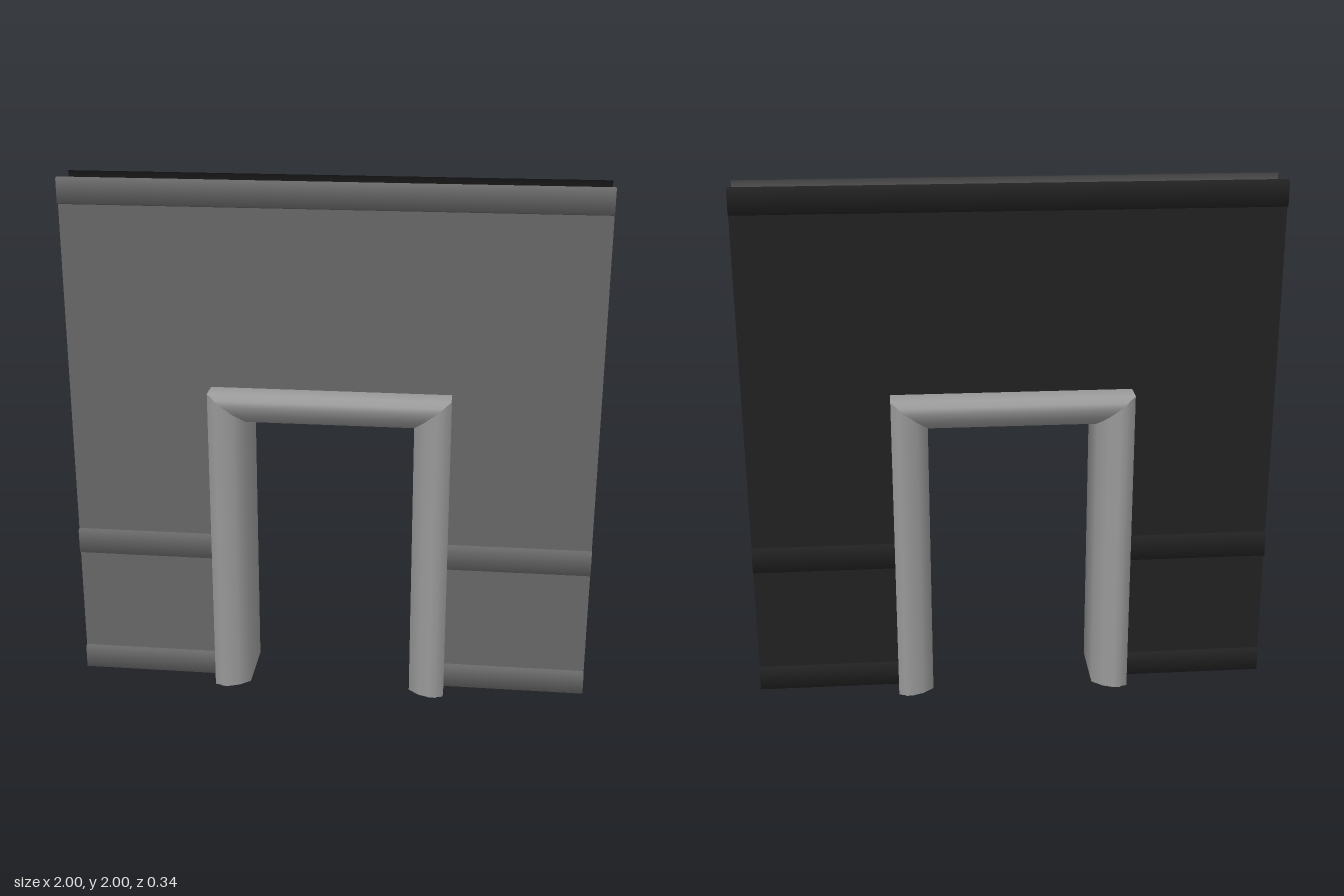
import * as THREE from 'three';

const paint = (color) => new THREE.MeshStandardMaterial({ color, side: THREE.DoubleSide });

const WALL_Z = 0.07;              // flat wall sheet
const BULGE = 0.013;              // how far the mouldings stand out
const GAP_X = 0.39, GAP_Y = 1.16; // opening cut in the sheets, hidden by the frame

// Frame section: [0 = outer edge .. 1 = inner edge, z], front half from outer to inner
const half = [[0, 0.157], [0.17, 0.163], [0.21, 0.17], [0.4, 0.169], [0.7, 0.153], [1, 0.118]];
const section = [...half].reverse().concat(half.map(([t, z]) => [t, -z]));
const frameX = (t) => 0.453 - 0.136 * t;
const frameY = (t) => 1.22 - 0.118 * t;

function add(parent, name, geometry, material) {
  const mesh = new THREE.Mesh(geometry, material);
  mesh.name = name;
  parent.add(mesh);
}

// Straight run between two matching profiles, shaded smoothly around the profile
function run(rowA, rowB, closed) {
  const a = rowA.map((p) => new THREE.Vector3(...p));
  const b = rowB.map((p) => new THREE.Vector3(...p));
  const n = a.length, count = closed ? n : n - 1;
  const normals = a.map(() => new THREE.Vector3());
  const index = [];
  for (let i = 0; i < count; i++) {
    const j = (i + 1) % n;
    const face = b[i].clone().sub(a[i]).cross(a[j].clone().sub(a[i])).normalize();
    normals[i].add(face);
    normals[j].add(face);
    index.push(i, n + i, n + j, i, n + j, j);
  }
  normals.forEach((v) => v.normalize());
  const flat = (list) => new THREE.Float32BufferAttribute(list.flatMap((v) => v.toArray()), 3);
  const g = new THREE.BufferGeometry();
  g.setAttribute('position', flat([...a, ...b]));
  g.setAttribute('normal', flat([...normals, ...normals]));
  g.setIndex(index);
  return g;
}

function wallSide(name, material) {
  const side = new THREE.Group();
  side.name = name;

  // Flat piece of wall sheet
  const panel = (x0, x1, y0, y1) => {
    const g = new THREE.PlaneGeometry(x1 - x0, y1 - y0);
    g.translate((x0 + x1) / 2, (y0 + y1) / 2, WALL_Z);
    add(side, 'wallPanel', g, material);
  };

  // Shallow rounded moulding along x
  const moulding = (part, x0, x1, y0, y1) => {
    const profile = [[y0, 0], [y0 + 0.006, BULGE], [y1 - 0.006, BULGE], [y1, 0]];
    const row = (x) => profile.map(([y, d]) => [x, y, WALL_Z + d]);
    add(side, part, run(row(x0), row(x1), false), material);
  };

  panel(-1, 1, GAP_Y, 1.9);
  moulding('crownMoulding', -1, 1, 1.9, 2);
  for (const [x0, x1] of [[-1, -GAP_X], [GAP_X, 1]]) {
    panel(x0, x1, 0.615, GAP_Y);
    panel(x0, x1, 0.1, 0.51);
    moulding('chairRail', x0, x1, 0.51, 0.615);
    moulding('baseboard', x0, x1, 0, 0.1);
  }
  return side;
}

export function createModel() {
  const model = new THREE.Group();
  model.name = 'doorwayWall';

  // Two thin wall sheets: grey in front, near black behind
  const back = wallSide('backWall', paint(0x202020));
  back.rotation.y = Math.PI;
  model.add(wallSide('frontWall', paint(0x666666)), back);

  // Hollow door frame: jamb, lintel and jamb meeting in sharp mitres, open at the floor
  const frame = new THREE.Group();
  frame.name = 'doorFrame';
  model.add(frame);
  const frameMaterial = paint(0x999999);
  const stations = [[-1, 0], [-1, 1], [1, 1], [1, 0]];
  const rows = stations.map(([sx, up]) => section.map(([t, z]) => [sx * frameX(t), up * frameY(t), z]));
  ['rightJamb', 'lintel', 'leftJamb'].forEach((name, i) => {
    add(frame, name, run(rows[i], rows[i + 1], true), frameMaterial);
  });
  return model;
}
